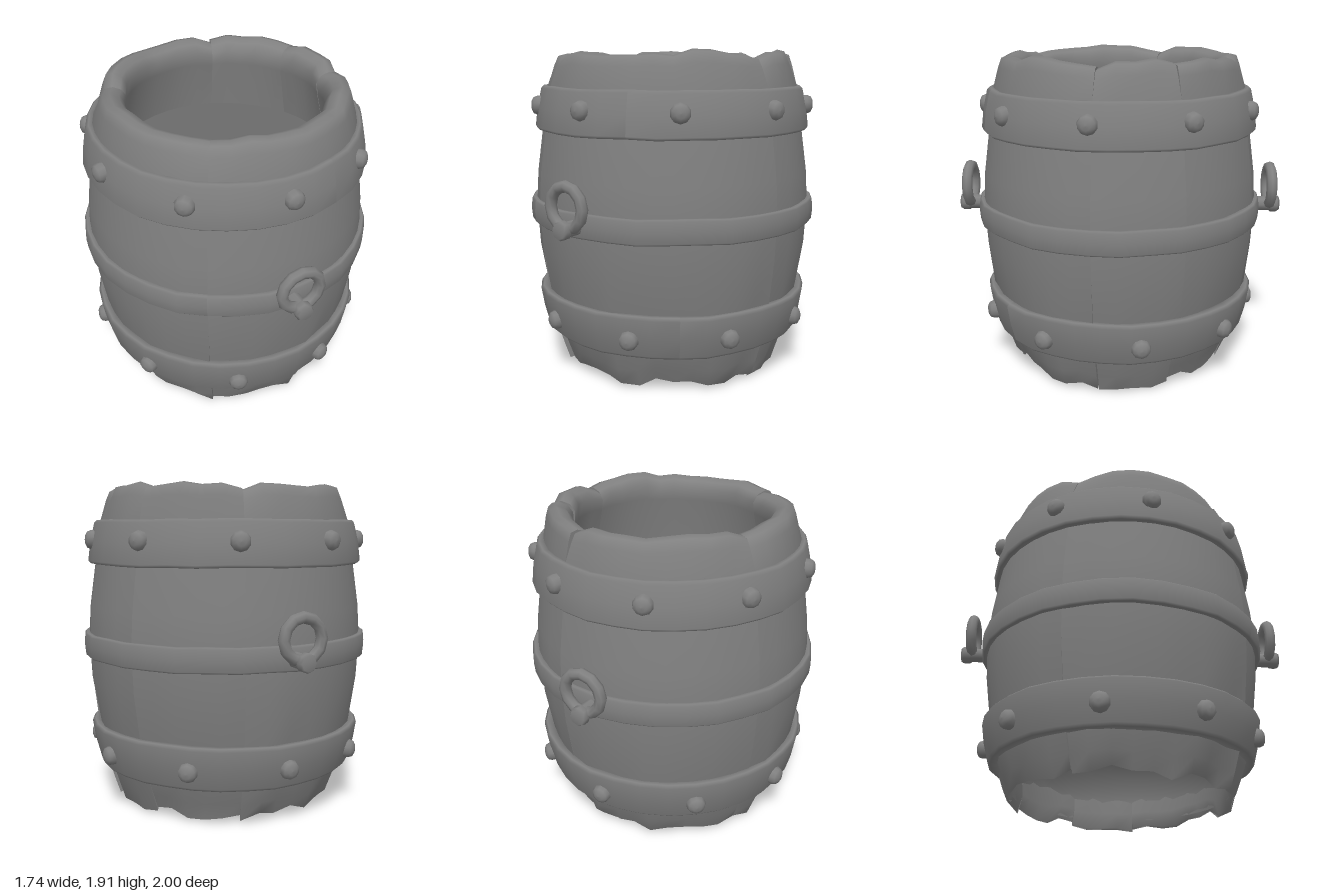
import * as THREE from 'three';

const grey = new THREE.MeshStandardMaterial({ color: 0x808080 });
const shadedGrey = new THREE.MeshStandardMaterial({ color: 0x6a6a6a });
const DEG = Math.PI / 180;
const noise = (i) => { const s = Math.sin(i * 12.9898 + 4.1) * 43758.5453; return s - Math.floor(s); };

function addMesh(parent, name, geometry, material = grey) {
  const mesh = new THREE.Mesh(geometry, material);
  mesh.name = name;
  parent.add(mesh);
  return mesh;
}

// Sweeps a closed [radius, y] profile around the y axis from angle a0 to a1 (0 = front), with flat ends.
// bend(r, y, column, t) may move each point.
function sweep(profile, a0, a1, columns, bend) {
  const pos = [], index = [], m = profile.length;
  for (let i = 0; i <= columns; i++) {
    const t = i / columns, a = (a0 + (a1 - a0) * t) * DEG;
    for (const [r0, y0] of profile) {
      const [r, y] = bend(r0, y0, i, t);
      pos.push(Math.sin(a) * r, y, Math.cos(a) * r);
    }
  }
  for (let i = 0; i < columns; i++) {
    for (let j = 0; j < m; j++) {
      const k = (j + 1) % m;
      const a = i * m + j, b = (i + 1) * m + j, c = (i + 1) * m + k, d = i * m + k;
      index.push(a, b, c, a, c, d);
    }
  }
  const faces = THREE.ShapeUtils.triangulateShape(profile.map(([r, y]) => new THREE.Vector2(r, y)), []);
  for (const end of [0, columns]) {
    const base = pos.length / 3;
    pos.push(...pos.slice(end * m * 3, (end + 1) * m * 3));
    for (const [a, b, c] of faces) {
      if (end === 0) index.push(base + a, base + b, base + c);
      else index.push(base + a, base + c, base + b);
    }
  }
  const g = new THREE.BufferGeometry();
  g.setAttribute('position', new THREE.Float32BufferAttribute(pos, 3));
  g.setIndex(index);
  g.computeVertexNormals();
  return g;
}

// Thick wall section: up the bulging outside, over the lip, down the inside
const staveProfile = [
  [0.68, 0.02], [0.712, 0.12], [0.75, 0.25], [0.795, 0.48], [0.825, 0.75], [0.838, 1.0],
  [0.825, 1.2], [0.79, 1.45], [0.755, 1.7], [0.715, 1.83], [0.692, 1.885], [0.65, 1.895],
  [0.6, 1.875], [0.572, 1.83], [0.575, 1.75], [0.65, 1.4], [0.68, 1.0], [0.65, 0.5], [0.62, 0.12], [0.65, 0.03],
];

function makeStaves() {
  const group = new THREE.Group();
  group.name = 'staves';
  // broad wall panels; the one from 117 to 162 degrees stands loose
  const seams = [-32, 81, 117, 162, 245, 328];
  for (let s = 0; s < seams.length - 1; s++) {
    const a0 = seams[s], a1 = seams[s + 1];
    const columns = Math.round((a1 - a0) / 9);
    const loose = s === 2;
    const bend = (r, y, i, t) => {
      const k = s * 20 + i;
      const low = THREE.MathUtils.clamp((0.7 - y) / 0.6, 0, 1);
      const edge = Math.pow(Math.abs(2 * t - 1), 8);
      let rr = r - low * 0.045 * noise(k + 300) * (r > 0.66 ? 1 : 0);
      let yy = y;
      // splintered foot
      if (y < 0.13) yy += (noise(k) * 0.075 - 0.02) * (1 - y / 0.2);
      // uneven lip, tilted on the loose panel
      if (y > 1.7) {
        const w = (y - 1.7) / 0.2;
        yy += ((noise(k + 500) - 0.4) * 0.035 - 0.03 * edge) * w;
        rr += ((noise(k + 900) - 0.5) * 0.02 + (loose ? 0.025 : 0)) * w - 0.015 * edge * w;
      }
      if (loose) rr -= 0.012 * (1 - 2 * Math.abs(t - 0.5));
      return [rr, Math.max(0, yy)];
    };
    addMesh(group, 'stave', sweep(staveProfile, a0, a1, columns, bend));
  }
  return group;
}

// Closed hoop section with narrow bevels
function hoopProfile(yBottom, rBottom, yTop, rTop, b) {
  return [
    [rBottom - 0.09, yBottom], [rBottom - b, yBottom], [rBottom, yBottom + b],
    [(rBottom + rTop) / 2 + 0.006, (yBottom + yTop) / 2],
    [rTop, yTop - b], [rTop - b, yTop], [rTop - 0.09, yTop],
  ];
}

function makeHoop(name, parent, profile, start) {
  // slight hammered unevenness that closes on itself
  const bend = (r, y, i) => [
    r + (noise((i % 32) + start) - 0.5) * 0.006,
    y + (noise((i % 32) + start + 77) - 0.5) * 0.008,
  ];
  addMesh(parent, name, sweep(profile, start, start + 360, 32, bend));
}

// Nine domed studs around one hoop
function makeStuds(name, y, radius, offset) {
  const group = new THREE.Group();
  group.name = name;
  const dome = new THREE.LatheGeometry(
    [[0.054, -0.05], [0.056, 0.02], [0.047, 0.042], [0.026, 0.053], [0, 0.056]].map(([r, h]) => new THREE.Vector2(r, h)), 10);
  dome.rotateX(Math.PI / 2);
  for (let i = 0; i < 9; i++) {
    const a = (offset + i * 40) * DEG;
    const stud = addMesh(group, 'stud', dome);
    stud.position.set(Math.sin(a) * radius, y, Math.cos(a) * radius);
    stud.rotation.y = a;
  }
  return group;
}

// Upright ring on a short headed pin
function makeHandle(name, turn) {
  const group = new THREE.Group();
  group.name = name;
  const ring = addMesh(group, 'ring', new THREE.TorusGeometry(0.116, 0.033, 8, 12));
  ring.position.set(0, 1.086, 0.935);
  const pin = addMesh(group, 'pin', new THREE.LatheGeometry(
    [[0.045, 0.78], [0.045, 0.94], [0.054, 0.95], [0.054, 0.985], [0.044, 1.0], [0, 1.0]].map(([r, h]) => new THREE.Vector2(r, h)), 8));
  pin.rotation.x = Math.PI / 2;
  pin.position.y = 0.967;
  group.rotation.y = turn;
  return group;
}

export function createModel() {
  const barrel = new THREE.Group();
  barrel.name = 'barrel';
  barrel.add(makeStaves());

  // Board closing the upper recess
  const upper = addMesh(barrel, 'upperBoard', new THREE.CylinderGeometry(0.68, 0.68, 0.04, 24), shadedGrey);
  upper.position.y = 1.42;

  // Vaulted underside, flowing out of the inner wall
  const vault = [[0, 0.53], [0.3, 0.52], [0.5, 0.46], [0.6, 0.34], [0.63, 0.2], [0.64, 0.08]];
  addMesh(barrel, 'lowerRecess', new THREE.LatheGeometry(vault.map(([r, y]) => new THREE.Vector2(r, y)), 24),
    new THREE.MeshStandardMaterial({ color: 0x808080, side: THREE.DoubleSide }));

  // Inner end of one fastening, showing inside the foot
  const stub = addMesh(barrel, 'fasteningEnd', new THREE.CylinderGeometry(0.07, 0.085, 0.16, 8));
  stub.rotation.set(Math.PI / 2, 0, 20 * DEG);
  stub.position.set(-0.2, 0.33, 0.55);

  // Hoops
  makeHoop('upperHoop', barrel, hoopProfile(1.45, 0.83, 1.705, 0.79, 0.016), 20);
  makeHoop('middleHoop', barrel, hoopProfile(0.9, 0.864, 1.04, 0.864, 0.01), -32);
  makeHoop('lowerHoop', barrel, hoopProfile(0.235, 0.785, 0.49, 0.832, 0.016), 40);

  barrel.add(makeStuds('upperStuds', 1.59, 0.798, 0));
  barrel.add(makeStuds('lowerStuds', 0.35, 0.8, 20));

  // Front and back ring handles
  barrel.add(makeHandle('frontHandle', 0), makeHandle('backHandle', Math.PI));
  return barrel;
}
